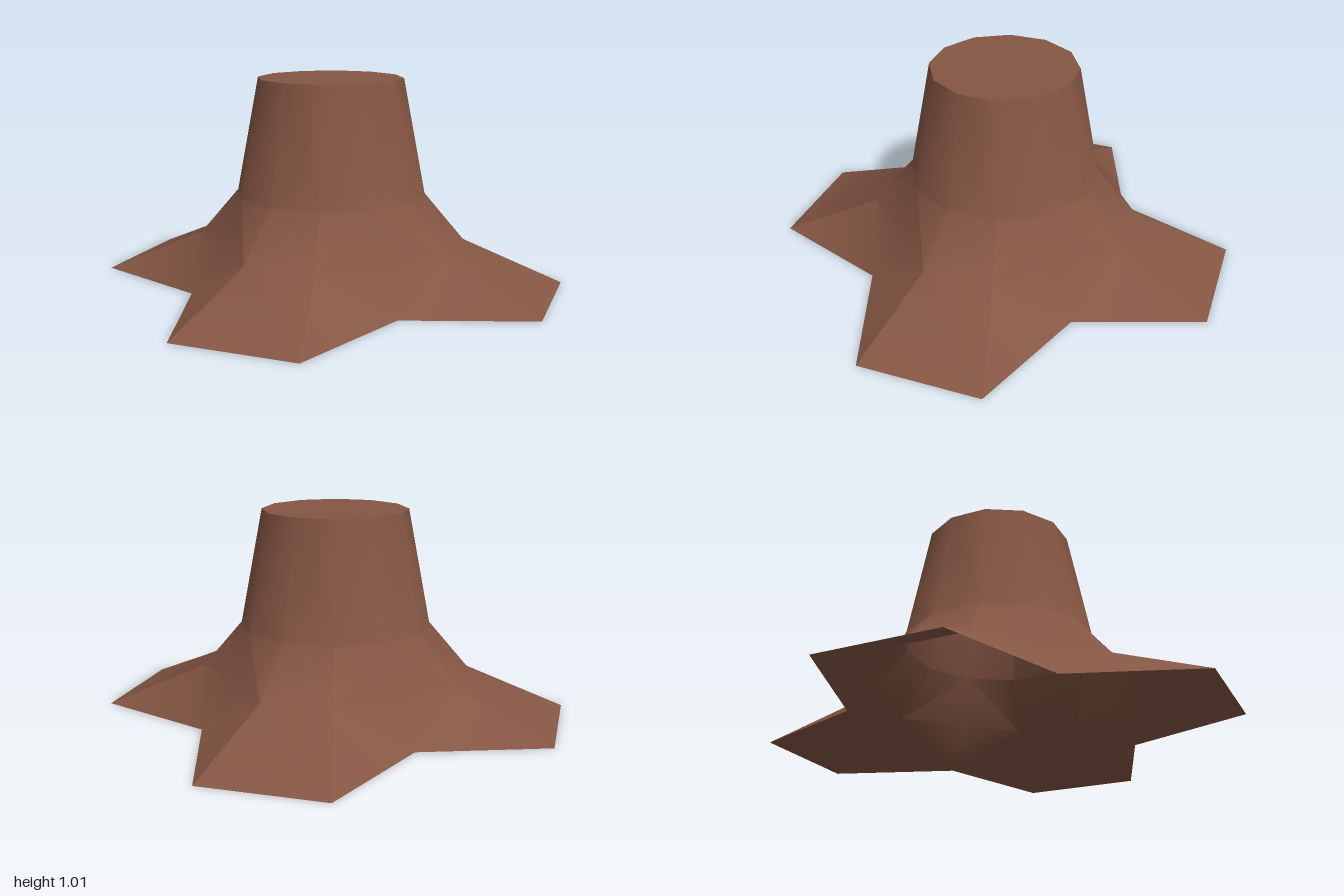
import * as THREE from 'three';
import { toCreasedNormals } from 'three/addons/utils/BufferGeometryUtils.js';

const SIDES = 12;

// Rings from ground to cut: height, radius in the valleys, radius along the root edges
const RINGS = [
  { y: 0, valley: 0.73, root: 1.155 },
  { y: 0.21, valley: 0.57, root: 0.665 },
  { y: 0.44, valley: 0.47, root: 0.47 },
  { y: 1.01, valley: 0.36, root: 0.36 },
];

function ringPoint(ring, k) {
  const a = (k / SIDES) * Math.PI * 2;
  const r = k % 3 === 0 ? ring.valley : ring.root;
  return [r * Math.sin(a), ring.y, r * Math.cos(a)];
}

// Hollow trunk wall flaring into four roots, open underneath
function barkGeometry() {
  const pos = [];
  for (let band = 0; band < RINGS.length - 1; band++) {
    for (let k = 0; k < SIDES; k++) {
      const l0 = ringPoint(RINGS[band], k);
      const l1 = ringPoint(RINGS[band], k + 1);
      const u0 = ringPoint(RINGS[band + 1], k);
      const u1 = ringPoint(RINGS[band + 1], k + 1);
      // The diagonal flips on either side of each valley so the roots mirror
      if ((k % 3 === 0) === (band % 2 === 0)) pos.push(...l0, ...l1, ...u1, ...l0, ...u1, ...u0);
      else pos.push(...l0, ...l1, ...u0, ...l1, ...u1, ...u0);
    }
  }
  const geo = new THREE.BufferGeometry();
  geo.setAttribute('position', new THREE.Float32BufferAttribute(pos, 3));
  return toCreasedNormals(geo, THREE.MathUtils.degToRad(33));
}

export function createModel() {
  const model = new THREE.Group();
  model.name = 'treeStump';

  const brown = new THREE.MeshStandardMaterial({ color: 0x855644, side: THREE.DoubleSide });
  brown.name = 'barkBrown';

  const bark = new THREE.Mesh(barkGeometry(), brown);
  bark.name = 'trunkAndRoots';
  model.add(bark);

  // Flat cut top
  const top = RINGS[RINGS.length - 1];
  const cut = new THREE.Mesh(new THREE.CircleGeometry(top.root, SIDES).rotateX(-Math.PI / 2), brown);
  cut.name = 'cutTop';
  cut.position.y = top.y;
  model.add(cut);

  return model;
}
